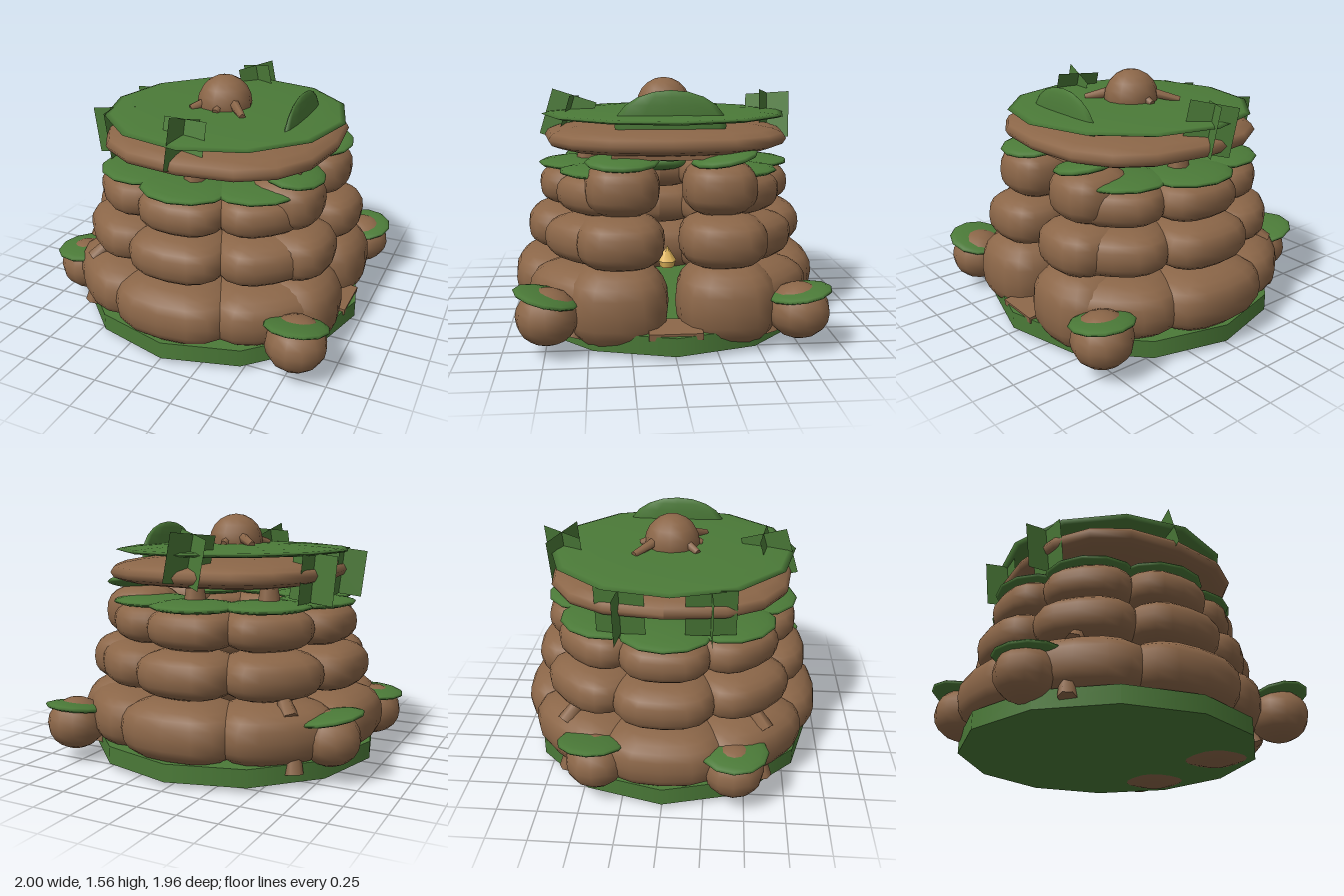
import * as THREE from 'three';

const BROWN = 0x8b6648, GREEN = 0x4b7a38, GOLD = 0xe5b95c;

// unit sphere pushed towards a rounded box, used for the wall stones
function stoneGeometry(power) {
  const geometry = new THREE.SphereGeometry(1, 16, 12);
  const p = geometry.attributes.position;
  const push = (v) => Math.sign(v) * Math.abs(v) ** power;
  for (let i = 0; i < p.count; i++) p.setXYZ(i, push(p.getX(i)), push(p.getY(i)), push(p.getZ(i)));
  geometry.computeVertexNormals();
  return geometry;
}

export function createModel() {
  const model = new THREE.Group();
  const mats = {};
  const mat = (color) => (mats[color] ??= new THREE.MeshStandardMaterial({ color }));
  const leafMat = new THREE.MeshStandardMaterial({ color: GREEN, side: THREE.DoubleSide });
  const ball = new THREE.SphereGeometry(1, 12, 10);
  const stone = stoneGeometry(0.78);

  function add(name, geometry, material, pos, rot = [0, 0, 0], scale = [1, 1, 1]) {
    const mesh = new THREE.Mesh(geometry, material);
    mesh.name = name;
    mesh.position.set(...pos);
    mesh.rotation.set(...rot);
    mesh.scale.set(...scale);
    model.add(mesh);
    return mesh;
  }
  const blob = (name, color, pos, scale, rot) => add(name, ball, mat(color), pos, rot, scale);
  const rock = (name, pos, scale, rot) => add(name, stone, mat(BROWN), pos, rot, scale);

  // short rod from one point to another
  function rod(name, from, to, r0, r1) {
    const a = new THREE.Vector3(...from), b = new THREE.Vector3(...to);
    const dir = b.clone().sub(a);
    const mesh = add(name, new THREE.CylinderGeometry(r1, r0, dir.length(), 6), mat(BROWN),
      a.clone().add(b).multiplyScalar(0.5).toArray());
    mesh.quaternion.setFromUnitVectors(new THREE.Vector3(0, 1, 0), dir.normalize());
  }

  // grassy base
  add('base', new THREE.CylinderGeometry(0.94, 0.94, 0.11, 12), mat(GREEN), [0.02, 0.095, 0]);

  // stacked stone rings, open on the +x side
  const rings = [
    { y: 0.3, r: 0.68, radial: 0.30, high: 0.19, wide: 0.40 },
    { y: 0.625, r: 0.63, radial: 0.26, high: 0.15, wide: 0.32 },
    { y: 0.89, r: 0.56, radial: 0.25, high: 0.135, wide: 0.285 },
  ];
  rings.forEach((g, level) => {
    for (let i = 1; i < 8; i++) {
      const a = i * Math.PI / 4;
      const x = 0.02 + Math.cos(a) * g.r, z = -Math.sin(a) * g.r;
      rock('wallStone', [x, g.y, z], [g.radial, g.high, g.wide], [0, a, 0]);
      if (level === 2) blob('wallMoss', GREEN, [x, 1.02, z], [0.255, 0.036, 0.29], [0, a, 0]);
    }
  });
  for (const [x, z] of [[0.05, 0.5], [-0.38, 0.36], [0.05, -0.5], [-0.38, -0.36]]) {
    rod('roofPeg', [x, 1.0, z], [x, 1.13, z], 0.075, 0.055);
  }

  // doorway pillars and lintel
  for (const s of [1, -1]) {
    rock('pillarStone', [0.63, 0.265, s * 0.325], [0.3, 0.255, 0.305]);
    rock('pillarStone', [0.61, 0.635, s * 0.305], [0.265, 0.165, 0.265]);
    rock('pillarStone', [0.555, 0.94, s * 0.29], [0.235, 0.165, 0.225]);
  }
  blob('pillarMoss', GREEN, [0.6, 1.1, 0.29], [0.19, 0.038, 0.22], [0, 0, -0.12]);
  blob('pillarMoss', GREEN, [0.6, 1.12, -0.31], [0.19, 0.038, 0.2], [0.18, 0, -0.08]);
  add('lintel', new THREE.BoxGeometry(0.16, 0.05, 0.7), mat(BROWN), [0.58, 1.14, 0]);

  // doorstep and hanging lantern
  add('doorstep', new THREE.BoxGeometry(0.2, 0.04, 0.31), mat(BROWN), [0.83, 0.155, 0], [0, 0, -0.1]);
  add('lantern', new THREE.ConeGeometry(0.06, 0.1, 6), mat(GOLD), [0.3, 0.465, 0]);
  add('lanternBase', new THREE.CylinderGeometry(0.055, 0.045, 0.04, 6), mat(GOLD), [0.3, 0.395, 0]);
  blob('innerMoss', GREEN, [-0.32, 0.96, 0], [0.1, 0.06, 0.2]);

  // roof slab, moss sheet and knob
  rock('roofStone', [0.05, 1.205, 0], [0.735, 0.1, 0.77]);
  blob('roofMoss', GREEN, [0.035, 1.338, 0], [0.77, 0.037, 0.79], [0, 0.05, 0]);
  blob('roofKnob', BROWN, [0.02, 1.39, 0], [0.175, 0.175, 0.175]);
  for (const [x, z] of [[-0.2, -0.22], [0.23, 0.21], [-0.14, 0.17], [0.01, -0.2], [0.04, 0.19]]) {
    rod('knobRoot', [0.02 + x * 0.4, 1.42, z * 0.4], [x, 1.375, z], 0.035, 0.022);
  }
  blob('roofFin', GREEN, [0.54, 1.3, 0], [0.033, 0.21, 0.33]);

  // crossed leaf cards
  const leaf = new THREE.PlaneGeometry(0.3, 0.3);
  function leaves(pos, rot) {
    const tuft = new THREE.Group();
    tuft.name = 'leafTuft';
    for (let i = 0; i < 2; i++) {
      const card = new THREE.Mesh(leaf, leafMat);
      card.name = 'leaf';
      card.rotation.y = i * Math.PI / 2;
      tuft.add(card);
    }
    tuft.position.set(...pos);
    tuft.rotation.set(...rot);
    model.add(tuft);
  }
  leaves([0.03, 1.305, 0.62], [-0.3, -0.18, 0]);
  leaves([-0.02, 1.31, -0.69], [0.1, -0.53, 0.25]);
  leaves([-0.62, 1.195, 0.27], [0, 0.1, 0.12]);
  leaves([-0.62, 1.19, -0.26], [0, -0.15, 0.1]);

  // round side stones with tilted moss caps
  const sides = [
    { p: [0.8, 0.245, 0.73], cap: [0.8, 0.36, 0.735], rot: [-0.26, 0, 0.03], r: 0.195 },
    { p: [0.8, 0.245, -0.73], cap: [0.8, 0.35, -0.73], rot: [0.16, 0, 0.03], r: 0.195 },
    { p: [-0.81, 0.25, 0.43], cap: [-0.8, 0.37, 0.43], rot: [0, 0, 0.06], r: 0.21 },
    { p: [-0.8, 0.27, -0.41], cap: [-0.8, 0.4, -0.43], rot: [0, 0, -0.2], r: 0.21 },
  ];
  for (const { p, cap, rot, r } of sides) {
    blob('sideStone', BROWN, p, [0.185, 0.165, 0.185]);
    blob('sideMoss', GREEN, cap, [r, 0.034, r], rot);
  }

  // stubby pegs at the corners of the lowest ring
  for (const s of [1, -1]) {
    rod('cornerPeg', [-0.66, 0.09, s * 0.62], [-0.64, 0.21, s * 0.59], 0.055, 0.045);
    rod('cornerPeg', [-0.63, 0.42, s * 0.62], [-0.55, 0.52, s * 0.54], 0.055, 0.04);
    rod('cornerPeg', [0.73, 0.09, s * 0.58], [0.71, 0.2, s * 0.55], 0.055, 0.045);
  }

  return model;
}
